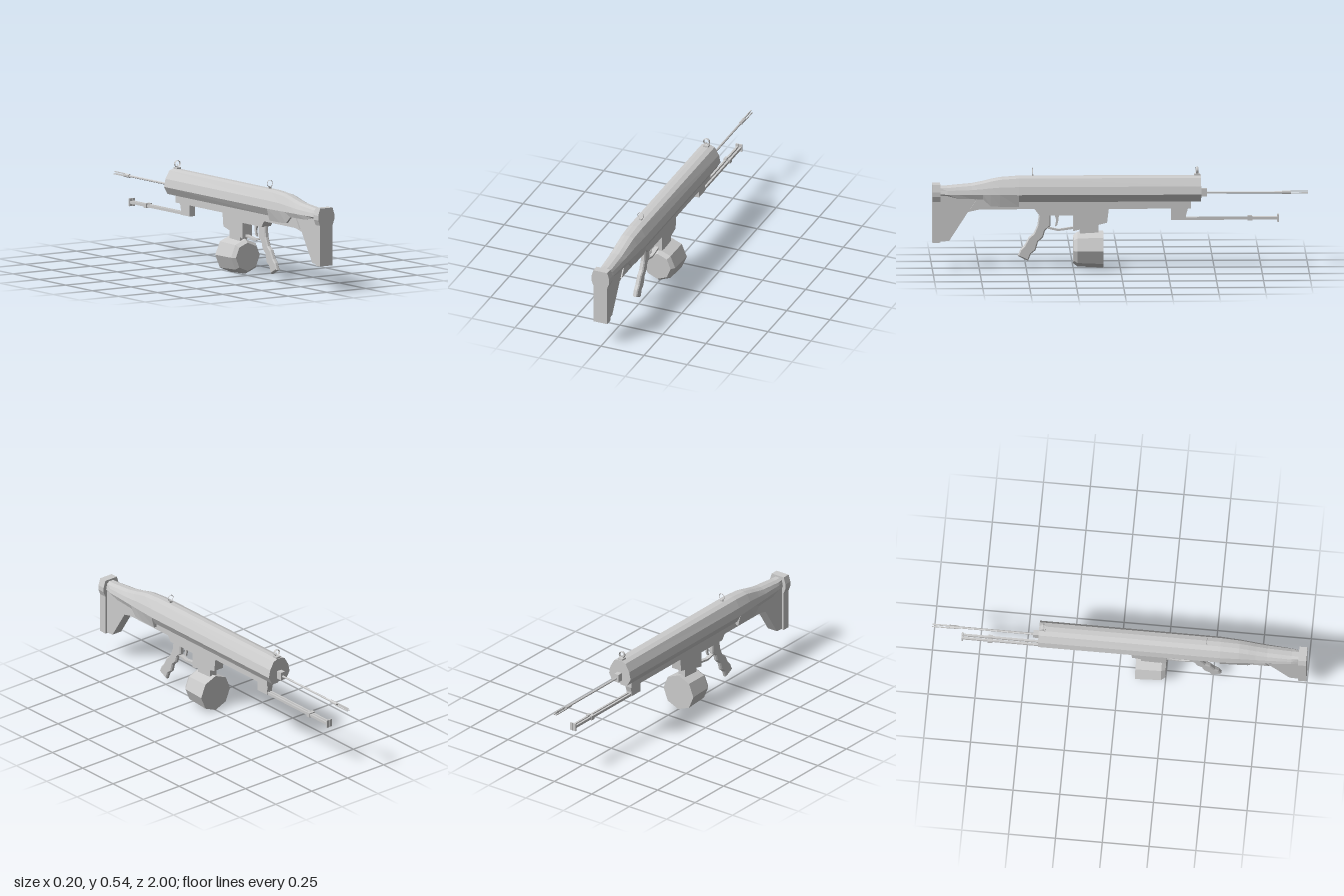
import * as THREE from 'three';

const mat = new THREE.MeshStandardMaterial({ color: 0xcccccc, flatShading: true, side: THREE.DoubleSide });

export function createModel() {
  const model = new THREE.Group();
  const rifle = new THREE.Group();
  rifle.name = 'rifle';
  rifle.position.x = -0.004;
  model.add(rifle);

  const add = (name, geo, x = 0, y = 0, z = 0) => {
    const m = new THREE.Mesh(geo, mat);
    m.name = name;
    m.position.set(x, y, z);
    rifle.add(m);
    return m;
  };
  const box = (name, w, h, d, x, y, z) => add(name, new THREE.BoxGeometry(w, h, d), x, y, z);

  // Side outline given as [z, y], extruded across x with an optional bevel
  const slab = (name, pts, width, bevel = 0) => {
    const shape = new THREE.Shape(pts.map(p => new THREE.Vector2(...p)));
    const depth = width - 2 * bevel;
    const geo = new THREE.ExtrudeGeometry(shape, {
      depth, bevelEnabled: bevel > 0, bevelSize: bevel, bevelOffset: -bevel, bevelThickness: bevel, bevelSegments: 1
    });
    geo.translate(0, 0, -depth / 2);
    geo.rotateY(-Math.PI / 2);
    return add(name, geo);
  };

  // Faceted rod along z between z0 (radius r0) and z1 (radius r1)
  const rod = (name, r0, r1, z0, z1, sides, x, y) => {
    const geo = new THREE.CylinderGeometry(r1, r0, z1 - z0, sides);
    geo.rotateX(Math.PI / 2);
    return add(name, geo, x, y, (z0 + z1) / 2);
  };

  // Receiver shell: sections of z, widest half width, roof half width, roof y, lower half width, lower y
  const sections = [
    [-0.43, 0.072, 0.038, 0.494, 0.049, 0.36],
    [0.538, 0.07, 0.038, 0.494, 0.049, 0.36],
    [0.54, 0.07, 0.038, 0.494, 0.053, 0.335],
    [0.64, 0.064, 0.036, 0.487, 0.05, 0.335],
    [0.69, 0.06, 0.035, 0.477, 0.049, 0.338],
    [0.73, 0.057, 0.034, 0.467, 0.048, 0.375],
    [0.79, 0.053, 0.033, 0.455, 0.044, 0.376],
    [0.86, 0.048, 0.032, 0.449, 0.041, 0.377],
    [0.92, 0.044, 0.031, 0.443, 0.036, 0.392],
    [0.96, 0.034, 0.027, 0.443, 0.03, 0.392]
  ];
  const ring = ([z, wm, wt, yt, wb, yb]) => {
    const half = [[wb, yb], [wm, 0.4], [wm * 0.87, 0.4 + (yt - 0.4) * 0.45], [wt, yt - 0.009], [0.013, yt]];
    return [...half, ...half.map(([x, y]) => [-x, y]).reverse()].map(([x, y]) => [x, y, z]);
  };
  const rings = sections.map(ring);
  const n = rings[0].length, index = [], last = (rings.length - 1) * n;
  for (let i = 0; i < rings.length - 1; i++) {
    for (let j = 0; j < n; j++) {
      const a = i * n + j, b = i * n + (j + 1) % n;
      index.push(a, b, b + n, a, b + n, a + n);
    }
  }
  for (let j = 1; j < n - 1; j++) index.push(0, j + 1, j, last, last + j, last + j + 1);
  const shell = new THREE.BufferGeometry();
  shell.setAttribute('position', new THREE.Float32BufferAttribute(rings.flat(2), 3));
  shell.setIndex(index);
  const shellGeo = shell.toNonIndexed();
  shellGeo.computeVertexNormals();
  add('receiverShell', shellGeo);

  // Lower rail under the shell
  slab('lowerRail', [[-0.375, 0.32], [0.8, 0.32], [0.76, 0.38], [-0.375, 0.38]], 0.074);

  // Shoulder stock and butt plate
  slab('stock', [[0.97, 0.145], [0.91, 0.15], [0.81, 0.305], [0.74, 0.32], [0.7, 0.375], [0.92, 0.41], [0.97, 0.41]], 0.06);
  const butt = [[0.04, 0.142], [0.04, 0.36], [0.052, 0.39], [0.052, 0.415], [0.04, 0.453]];
  const buttShape = new THREE.Shape([...butt, ...butt.map(([x, y]) => [-x, y]).reverse()].map(p => new THREE.Vector2(...p)));
  add('buttPlate', new THREE.ExtrudeGeometry(buttShape, { depth: 0.043, bevelEnabled: false }), 0, 0, 0.957);

  // Magazine well and trigger housing
  slab('magazineWell', [[0.06, 0.325], [0.07, 0.245], [0.17, 0.22], [0.25, 0.2], [0.25, 0.285], [0.37, 0.285],
    [0.43, 0.285], [0.46, 0.325]], 0.06);

  // Pistol grip with finger grooves
  slab('grip', [[0.37, 0.3], [0.37, 0.225], [0.4, 0.2], [0.41, 0.165], [0.437, 0.14], [0.45, 0.095], [0.475, 0.075],
    [0.49, 0.038], [0.545, 0.065], [0.53, 0.1], [0.51, 0.12], [0.485, 0.165], [0.46, 0.185], [0.44, 0.23], [0.43, 0.3]], 0.026, 0.006);

  // Trigger and its guard
  slab('trigger', [[0.325, 0.29], [0.35, 0.29], [0.34, 0.255], [0.347, 0.222], [0.335, 0.228], [0.328, 0.255]], 0.01);
  slab('triggerGuard', [[0.24, 0.21], [0.33, 0.198], [0.39, 0.212], [0.39, 0.222], [0.33, 0.208], [0.24, 0.222]], 0.022);

  // Octagonal drum magazine with a chamfered front
  const drum = new THREE.LatheGeometry(
    [[0, 0.09], [0.1, 0.09], [0.093, 0.228], [0.076, 0.25], [0, 0.25]].map(p => new THREE.Vector2(...p)), 8);
  drum.rotateX(Math.PI / 2);
  add('drumMagazine', drum, 0.004, 0.1, 0);
  box('drumNeck', 0.045, 0.08, 0.1, 0, 0.21, 0.165);

  // Barrel, collar and three-pronged muzzle
  box('barrelCollar', 0.028, 0.044, 0.034, 0, 0.402, -0.444);
  rod('barrel', 0.006, 0.006, -0.87, -0.43, 6, 0, 0.4);
  rod('muzzle', 0.01, 0.01, -0.91, -0.86, 6, 0, 0.4);
  for (let i = 0; i < 3; i++) {
    const a = Math.PI / 2 + i * Math.PI * 2 / 3;
    box('muzzleProng', 0.005, 0.005, 0.095, Math.cos(a) * 0.0075, 0.4 + Math.sin(a) * 0.0075, -0.9525);
  }

  // Folded bipod: mount, twin legs, collar and foot
  slab('bipodMount', [[-0.27, 0.325], [-0.27, 0.255], [-0.35, 0.255], [-0.35, 0.28], [-0.362, 0.325]], 0.034);
  for (const s of [-1, 1]) {
    box('bipodLeg', 0.011, 0.014, 0.5, s * 0.009, 0.263, -0.59);
    box('bipodCollar', 0.016, 0.024, 0.025, s * 0.011, 0.263, -0.69);
    box('bipodFoot', 0.017, 0.042, 0.008, s * 0.0095, 0.263, -0.84);
  }

  // Ring sights
  const sightRing = (name, z, tube) =>
    add(name, new THREE.TorusGeometry(0.0175, tube, 4, 10), 0, 0.521, z);
  sightRing('rearSight', 0.465, 0.002);
  box('rearSightBase', 0.016, 0.012, 0.008, 0, 0.497, 0.465);
  const hood = sightRing('frontSight', -0.41, 0.0025);
  hood.scale.z = 3;
  box('frontSightBase', 0.028, 0.014, 0.032, 0, 0.496, -0.41);
  add('frontSightPost', new THREE.ConeGeometry(0.004, 0.02, 4), 0, 0.512, -0.41);

  return model;
}
